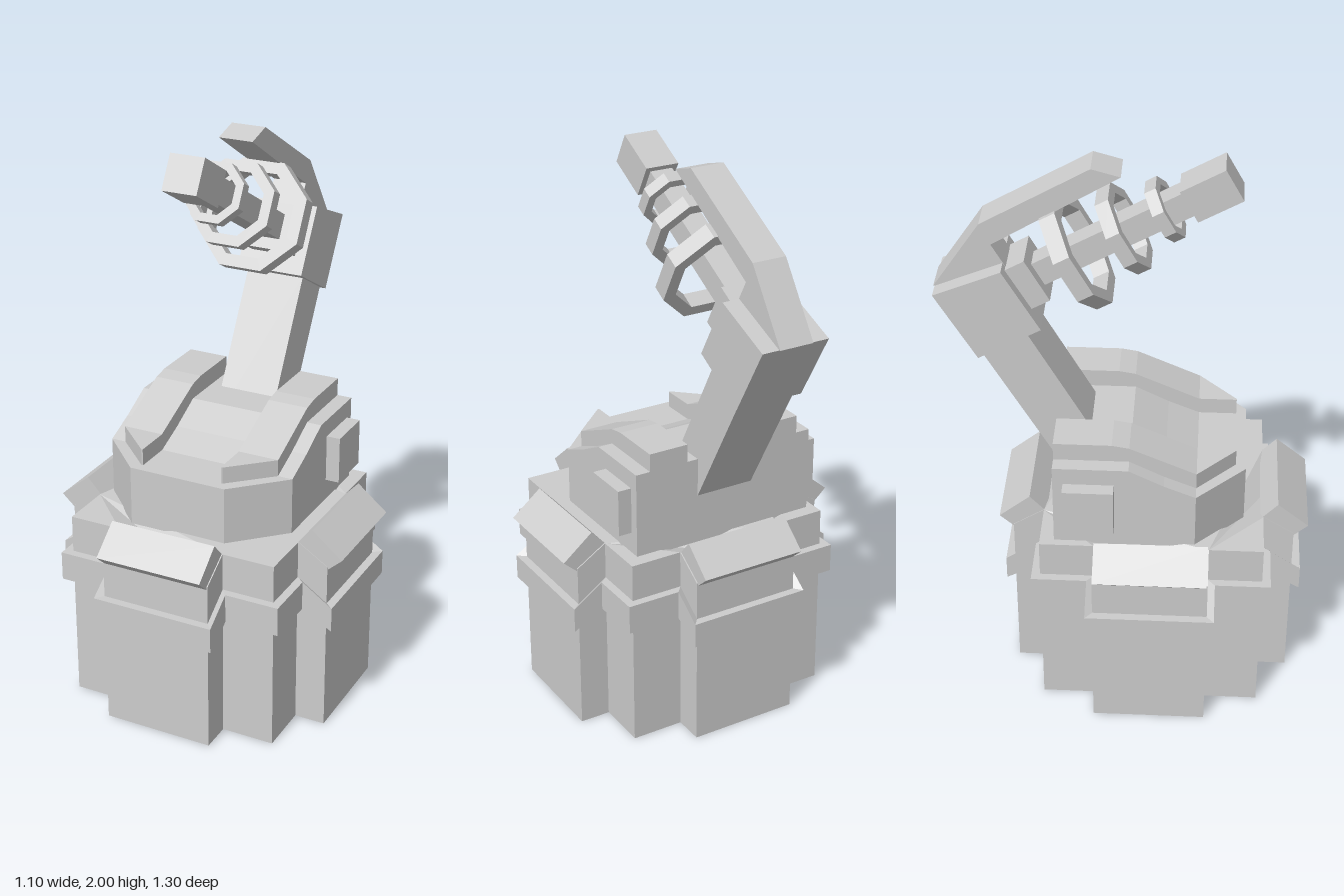
import * as THREE from 'three';

const grey = new THREE.MeshStandardMaterial({ color: 0xcccccc, flatShading: true });

function add(parent, name, geometry, x = 0, y = 0, z = 0) {
  const mesh = new THREE.Mesh(geometry, grey);
  mesh.name = name;
  mesh.position.set(x, y, z);
  parent.add(mesh);
  return mesh;
}

const box = (w, h, d) => new THREE.BoxGeometry(w, h, d);

const shapeOf = (points) => new THREE.Shape(points.map(([a, b]) => new THREE.Vector2(a, b)));

// Side profile in (z, y), extruded across x
function slab(points, width) {
  const g = new THREE.ExtrudeGeometry(shapeOf(points), { depth: width, bevelEnabled: false });
  g.translate(0, 0, -width / 2);
  return g.rotateY(-Math.PI / 2);
}

// Joins closed loops of points with quads; caps the ends if asked
function skin(loops, capped) {
  const pos = [];
  const quad = (a, b, c, d) => pos.push(...a, ...b, ...c, ...a, ...c, ...d);
  for (let i = 0; i + 1 < loops.length; i++) {
    const A = loops[i], B = loops[i + 1], n = A.length;
    for (let j = 0; j < n; j++) quad(A[j], B[j], B[(j + 1) % n], A[(j + 1) % n]);
  }
  if (capped) {
    quad(...loops[0]);
    quad(...[...loops[loops.length - 1]].reverse());
  }
  const g = new THREE.BufferGeometry();
  g.setAttribute('position', new THREE.Float32BufferAttribute(pos, 3));
  g.computeVertexNormals();
  return g;
}

// Rectangular sections [z, x0, x1, y0, y1], listed front to back
const loft = (sections) => skin(sections.map(([z, x0, x1, y0, y1]) =>
  [[x1, y0, z], [x1, y1, z], [x0, y1, z], [x0, y0, z]]), true);

// Cross-shaped plan: corner reach c, arm reach a, arm half-width w
function crossPlan(c, a, w) {
  const points = [];
  let quarter = [[a, -w], [a, w], [c, w], [c, c], [w, c]];
  for (let k = 0; k < 4; k++) {
    points.push(...quarter);
    quarter = quarter.map(([x, z]) => [-z, x]);
  }
  return points;
}

// Octagonal ring around z with flat sides; outer is the half-width
function octRing(outer, wall, depth) {
  const oct = (r) => Array.from({ length: 8 }, (_, i) => {
    const t = Math.PI / 8 + i * Math.PI / 4, R = r / Math.cos(Math.PI / 8);
    return new THREE.Vector2(R * Math.cos(t), R * Math.sin(t));
  });
  const shape = new THREE.Shape(oct(outer));
  shape.holes.push(new THREE.Path(oct(outer - wall)));
  const g = new THREE.ExtrudeGeometry(shape, { depth, bevelEnabled: false });
  return g.translate(0, 0, -depth / 2);
}

function makeBase() {
  const base = new THREE.Group();
  base.name = 'base';
  base.position.z = 0.1;

  const body = new THREE.ExtrudeGeometry(shapeOf(crossPlan(0.39, 0.5, 0.2)),
    { depth: 0.7, bevelEnabled: false });
  // Lower the arm ends so they tuck under the flaps
  const p = body.attributes.position;
  for (let i = 0; i < p.count; i++) {
    if (p.getZ(i) > 0.5 && Math.max(Math.abs(p.getX(i)), Math.abs(p.getY(i))) > 0.45) p.setZ(i, 0.63);
  }
  add(base, 'pedestal', body.rotateX(-Math.PI / 2));

  // Belt that drops lower on the four arms
  const inner = crossPlan(0.385, 0.495, 0.195), outer = crossPlan(0.42, 0.53, 0.225);
  const level = (plan, low, high) => plan.map(([x, z], i) => [x, i % 5 < 2 ? low : high, z]);
  add(base, 'belt', skin([
    level(inner, 0.4, 0.46), level(outer, 0.4, 0.46),
    level(outer, 0.49, 0.565), level(inner, 0.49, 0.565),
    level(inner, 0.4, 0.46),
  ], false));

  // Tilted flap on each arm
  for (let k = 0; k < 4; k++) {
    const flap = add(base, 'flap', slab(
      [[0.38, 0.69], [0.5, 0.62], [0.55, 0.665], [0.44, 0.755]], 0.392));
    flap.rotation.y = k * Math.PI / 2;
  }
  return base;
}

function makeTurret() {
  const turret = new THREE.Group();
  turret.name = 'turret';
  add(turret, 'turretBody', loft([
    [0.42, -0.18, 0.18, 0.69, 0.905],
    [0.25, -0.352, 0.352, 0.69, 0.905],
    [0.14, -0.352, 0.352, 0.69, 0.95],
    [0.02, -0.352, 0.352, 0.69, 1.01],
    [-0.24, -0.352, 0.352, 0.69, 1.01],
  ]));
  for (const s of [-1, 1]) {
    const rail = [
      [0.385, 0.15, 0.156, 0.85, 0.965],
      [0.25, 0.15, 0.298, 0.85, 0.965],
      [0.02, 0.15, 0.298, 0.9, 1.065],
      [-0.04, 0.15, 0.298, 0.9, 1.075],
      [-0.24, 0.15, 0.298, 0.9, 1.075],
    ].map(([z, a, b, y0, y1]) => (s > 0 ? [z, a, b, y0, y1] : [z, -b, -a, y0, y1]));
    add(turret, 'rail', loft(rail));
    add(turret, 'sidePanel', box(0.08, 0.17, 0.175), s * 0.362, 0.862, -0.117);
  }
  return turret;
}

function makeArm() {
  const arm = new THREE.Group();
  arm.name = 'arm';
  add(arm, 'mast', slab([[-0.05, 0.88], [-0.2, 0.8], [-0.49, 1.31], [-0.34, 1.4]], 0.218));
  add(arm, 'head', slab([[-0.286, 1.42], [-0.503, 1.3], [-0.645, 1.544], [-0.413, 1.64]], 0.252));
  add(arm, 'hood', slab([[-0.02, 1.968], [-0.45, 1.708], [-0.4, 1.62], [-0.48, 1.57],
    [-0.65, 1.544], [-0.487, 1.783], [-0.117, 1.995]], 0.126));

  // Emitter along a tilted axis, with the muzzle at its origin
  const emitter = new THREE.Group();
  emitter.name = 'emitter';
  emitter.position.set(0, 1.907, 0.273);
  emitter.rotation.x = -THREE.MathUtils.degToRad(29.3);
  add(emitter, 'muzzle', box(0.126, 0.125, 0.168));
  add(emitter, 'rod', box(0.086, 0.09, 0.72), 0, 0, -0.38);
  add(emitter, 'collar', box(0.17, 0.17, 0.1), 0, 0, -0.705);
  for (const [z, outer, wall, depth] of [
    [-0.173, 0.102, 0.028, 0.042], [-0.328, 0.145, 0.036, 0.05], [-0.505, 0.191, 0.042, 0.06],
  ]) add(emitter, 'ring', octRing(outer, wall, depth), 0, 0, z);
  arm.add(emitter);
  return arm;
}

export function createModel() {
  const model = new THREE.Group();
  model.name = 'emitterTurret';
  const turret = makeTurret(), arm = makeArm();
  turret.position.x = arm.position.x = -0.01;
  model.add(makeBase(), turret, arm);
  return model;
}
